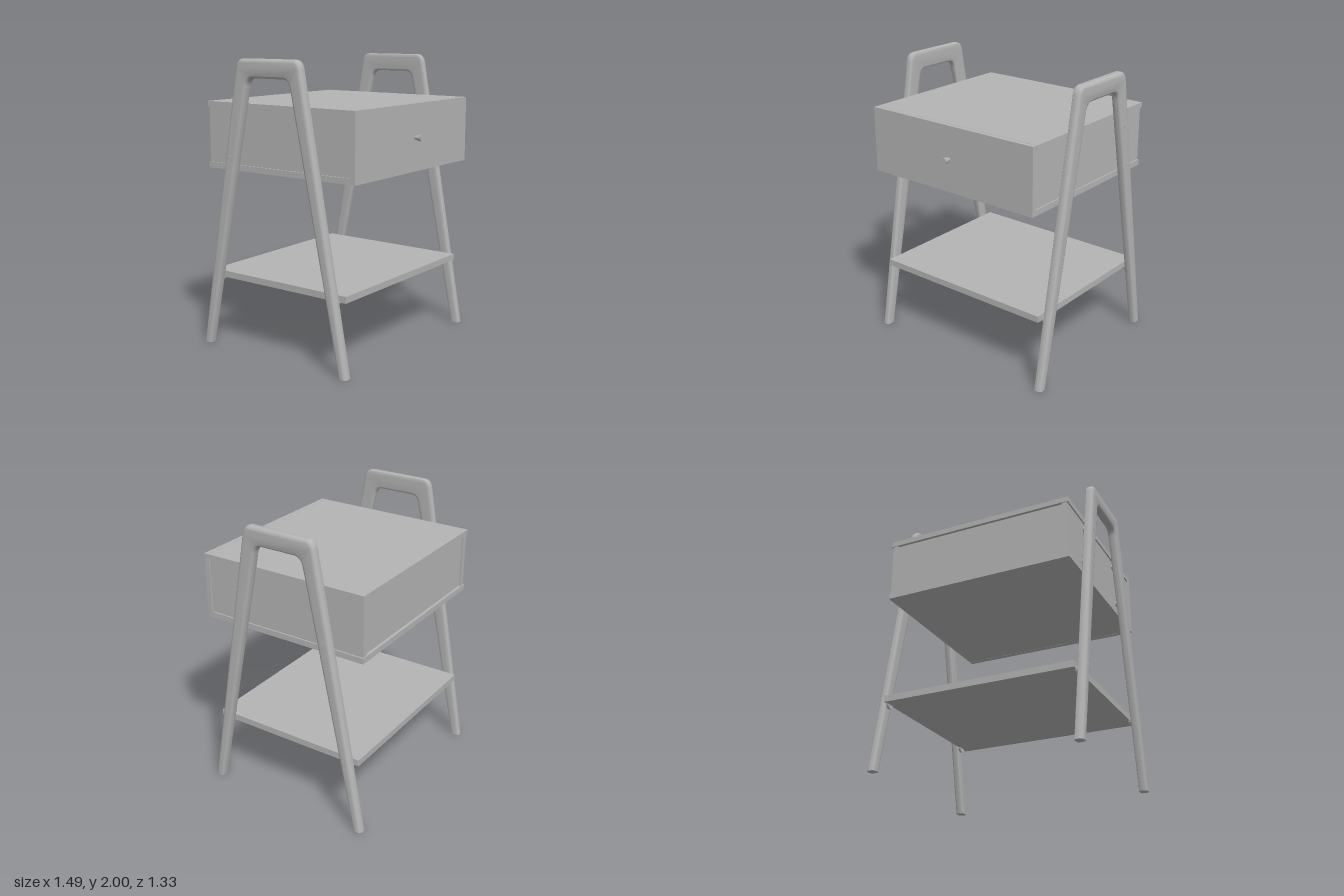
import * as THREE from 'three';
import { toCreasedNormals } from 'three/addons/utils/BufferGeometryUtils.js';

const grey = new THREE.MeshStandardMaterial({ color: 0xb4b4b4 });
grey.name = 'plain grey';

const MID = -0.04; // z of the side frames' centre line

function add(parent, name, geometry, x = 0, y = 0, z = 0) {
  const mesh = new THREE.Mesh(geometry, grey);
  mesh.name = name;
  mesh.position.set(x, y, z);
  parent.add(mesh);
  return mesh;
}

// Box given by its extents on each axis
function box(parent, name, x0, x1, y0, y1, z0, z1) {
  const g = new THREE.BoxGeometry(x1 - x0, y1 - y0, z1 - z0);
  return add(parent, name, g, (x0 + x1) / 2, (y0 + y1) / 2, (z0 + z1) / 2);
}

// A-shaped frame: two splayed legs joined by a handle, softly rounded
function frameGeometry() {
  const s = new THREE.Shape();
  s.moveTo(0.627, -0.04);
  s.lineTo(0.272, 1.94);
  s.quadraticCurveTo(0.26, 2, 0.21, 2);
  s.lineTo(-0.21, 2);
  s.quadraticCurveTo(-0.26, 2, -0.272, 1.94);
  s.lineTo(-0.627, -0.04);
  s.lineTo(-0.562, -0.04);
  s.lineTo(-0.182, 1.82);
  s.quadraticCurveTo(-0.17, 1.875, -0.12, 1.875);
  s.lineTo(0.12, 1.875);
  s.quadraticCurveTo(0.17, 1.875, 0.182, 1.82);
  s.lineTo(0.562, -0.04);
  s.closePath();
  const g = new THREE.ExtrudeGeometry(s, {
    depth: 0.025, bevelThickness: 0.025, bevelSize: 0.025,
    bevelOffset: -0.025, bevelSegments: 5, curveSegments: 8,
  });
  // Flatten the inner side and cut the feet level with the floor
  const p = g.attributes.position;
  for (let i = 0; i < p.count; i++) {
    if (p.getZ(i) < 0) p.setZ(i, p.getZ(i) * 0.4);
    if (p.getY(i) < 0) p.setY(i, 0);
  }
  g.rotateY(Math.PI / 2);
  g.translate(0.695, 0, 0);
  return toCreasedNormals(g, 0.6);
}

function dowel(parent, name, r, x0, x1, y, z) {
  const g = new THREE.CylinderGeometry(r, r, x1 - x0, 20).rotateZ(Math.PI / 2);
  return add(parent, name, g, (x0 + x1) / 2, y, z);
}

export function createModel() {
  const model = new THREE.Group();
  model.name = 'sideTable';

  // Side frames with dowels into the drawer case and the shelf
  const frame = frameGeometry();
  for (const [name, turn] of [['leftFrame', 0], ['rightFrame', Math.PI]]) {
    const side = new THREE.Group();
    side.name = name;
    side.position.z = MID;
    side.rotation.y = turn;
    add(side, 'legsAndHandle', frame);
    for (const s of [1, -1]) {
      dowel(side, 'upperDowel', 0.02, 0.65, 0.746, 1.62, s * 0.283);
      dowel(side, 'lowerDowel', 0.02, 0.65, 0.746, 1.34, s * 0.333);
      dowel(side, 'shelfDowel', 0.03, 0.67, 0.69, 0.485, s * 0.5);
    }
    model.add(side);
  }

  // Drawer case: overhanging slabs, inset sides and recessed back
  const drawer = new THREE.Group();
  drawer.name = 'drawerCase';
  box(drawer, 'caseTop', -0.68, 0.68, 1.668, 1.705, -0.63, 0.573);
  box(drawer, 'caseBottom', -0.68, 0.68, 1.248, 1.288, -0.63, 0.573);
  for (const s of [-1, 1]) {
    box(drawer, 'caseSide', s * 0.652 - 0.018, s * 0.652 + 0.018, 1.288, 1.668, -0.625, 0.573);
  }
  box(drawer, 'caseBack', -0.634, 0.634, 1.288, 1.668, -0.61, -0.58);
  box(drawer, 'drawerFront', -0.68, 0.68, 1.248, 1.705, 0.575, 0.61);

  // Flared knob
  const knob = new THREE.CylinderGeometry(0.026, 0.012, 0.057, 24).rotateX(Math.PI / 2);
  add(drawer, 'knob', knob, 0, 1.477, 0.6365);
  model.add(drawer);

  // Lower shelf
  box(model, 'shelf', -0.68, 0.68, 0.485, 0.53, -0.605, 0.54);

  return model;
}
